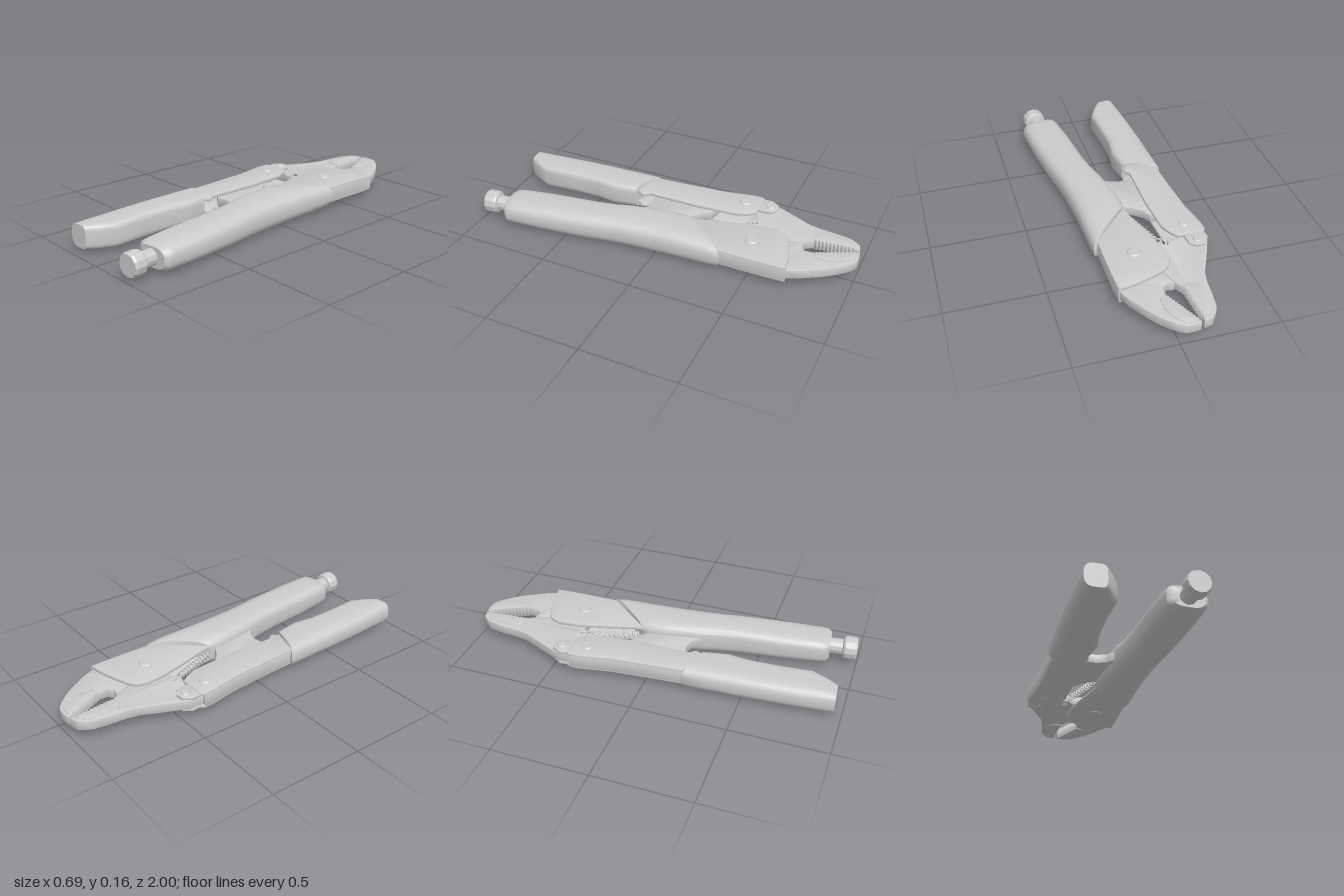
import * as THREE from 'three';
import { toCreasedNormals } from 'three/addons/utils/BufferGeometryUtils.js';

const MID = 0.082; // height of the tool's centre plane

export function createModel() {
  const tool = new THREE.Group();
  tool.name = 'lockingPliers';
  const steel = new THREE.MeshStandardMaterial({ color: 0xcccccc });

  function add(name, geometry, crease = 0.6) {
    const mesh = new THREE.Mesh(toCreasedNormals(geometry, crease), steel);
    mesh.name = name;
    mesh.position.y = MID;
    tool.add(mesh);
    return mesh;
  }

  // Flat part from an (x, z) outline, spanning heights y0 to y1
  function plate(name, points, y0, y1, bevel = 0.005, hole) {
    const shape = new THREE.Shape(points.map(p => new THREE.Vector2(p[0], p[1])));
    if (hole) {
      const h = new THREE.Path();
      h.absarc(hole[0], hole[1], hole[2], 0, Math.PI * 2, true);
      shape.holes.push(h);
    }
    const geometry = new THREE.ExtrudeGeometry(shape, {
      depth: y1 - y0 - 2 * bevel, bevelEnabled: bevel > 0, bevelSize: bevel,
      bevelThickness: bevel, bevelOffset: -bevel, bevelSegments: 2, curveSegments: 16,
    });
    geometry.rotateX(Math.PI / 2).translate(0, y1 - bevel, 0);
    return add(name, geometry);
  }

  // Saw-tooth row from a to b
  function teeth(a, b, n, depth) {
    const points = [];
    const dx = b[0] - a[0], dz = b[1] - a[1], len = Math.hypot(dx, dz);
    for (let i = 0; i <= 2 * n; i++) {
      const t = i / (2 * n), d = i % 2 ? depth : 0;
      points.push([a[0] + dx * t - dz / len * d, a[1] + dz * t + dx / len * d]);
    }
    return points;
  }

  // Rounded sleeve; stations are [xLow, zLow, xHigh, zHigh, halfHeight]
  function sleeve(name, stations, nLow, nHigh) {
    const N = 40, pos = [], index = [];
    const power = (v, n) => Math.sign(v) * Math.abs(v) ** (2 / n);
    for (const [xl, zl, xr, zr, h] of stations) {
      for (let j = 0; j < N; j++) {
        const a = j / N * Math.PI * 2, c = Math.cos(a), n = c < 0 ? nLow : nHigh;
        const u = (power(c, n) + 1) / 2;
        pos.push(xl + (xr - xl) * u, power(Math.sin(a), n) * h, zl + (zr - zl) * u);
      }
    }
    const last = stations.length - 1;
    for (let i = 0; i < last; i++) {
      for (let j = 0; j < N; j++) {
        const k = (j + 1) % N, a = i * N + j, b = i * N + k;
        index.push(a, b, b + N, a, b + N, a + N);
      }
    }
    for (const i of [0, last]) {
      const [xl, zl, xr, zr] = stations[i], centre = pos.length / 3;
      pos.push((xl + xr) / 2, 0, (zl + zr) / 2);
      for (let j = 0; j < N; j++) {
        const a = i * N + j, b = i * N + (j + 1) % N;
        index.push(centre, ...(i ? [a, b] : [b, a]));
      }
    }
    const geometry = new THREE.BufferGeometry();
    geometry.setAttribute('position', new THREE.Float32BufferAttribute(pos, 3));
    geometry.setIndex(index);
    add(name, geometry, 0.75);
  }

  function rivet(name, x, z, r, h) {
    const profile = [[0, -h], [r * 0.8, -h], [r, -h + 0.006], [r, h - 0.006], [r * 0.8, h], [0, h]];
    const geometry = new THREE.LatheGeometry(profile.map(p => new THREE.Vector2(...p)), 24);
    add(name, geometry.translate(x, 0, z));
  }

  // Jaws, with teeth facing each other across the mouth
  const fixedTeeth = teeth([-0.095, -0.965], [-0.005, -0.78], 11, -0.008);
  const movingTeeth = teeth([-0.1, -0.75], [-0.117, -0.96], 11, -0.008);
  plate('fixedJaw', [
    [-0.1, -0.995], ...fixedTeeth, [-0.005, -0.735], [-0.035, -0.71], [-0.07, -0.715],
    [-0.05, -0.65], [0, -0.6], [0.19, -0.6], [0.2, -0.69], [0.166, -0.766], [0.11, -0.86],
    [0.07, -0.915], [0.03, -0.957], [0, -0.985], [-0.03, -0.999], [-0.07, -1],
  ], -0.024, 0.024, 0.002);
  plate('movingJaw', [
    [-0.115, -0.992], [-0.16, -0.98], [-0.185, -0.95], [-0.2, -0.92], [-0.212, -0.84],
    [-0.22, -0.75], [-0.235, -0.685], [-0.27, -0.61], [-0.31, -0.52], [-0.335, -0.46],
    [-0.335, -0.38], [-0.2, -0.4], [-0.155, -0.388], [-0.115, -0.385], [-0.085, -0.42],
    [0.04, -0.42], [0.09, -0.48], [0, -0.59], [-0.055, -0.65], [-0.075, -0.715],
    ...movingTeeth,
  ], -0.024, 0.024, 0.002, [-0.128, -0.422, 0.02]);

  // Raised gripping pads along the teeth
  plate('fixedJawPad', [
    ...fixedTeeth, [0.03, -0.8], [0.035, -0.86], [0.01, -0.93], [-0.03, -0.985], [-0.085, -0.985],
  ], -0.029, 0.029, 0.002);
  plate('movingJawPad', [
    ...movingTeeth, [-0.15, -0.96], [-0.178, -0.93], [-0.187, -0.78], [-0.17, -0.755], [-0.13, -0.742],
  ], -0.029, 0.029, 0.002);

  // Folded body and left handle: two side plates and an outer web each
  const body = [
    [0.2, -0.705], [0.11, -0.69], [0.03, -0.665], [-0.05, -0.635], [-0.08, -0.61], [-0.098, -0.56],
    [-0.088, -0.45], [-0.05, -0.3], [-0.008, -0.155], [0.0, -0.1], [0.05, 0], [0.2, 0],
    [0.205, -0.34], [0.205, -0.6],
  ];
  const handle = [
    [-0.335, -0.41], [-0.347, -0.39], [-0.345, -0.34], [-0.315, -0.18], [-0.297, 0.03],
    [-0.28, 0.3], [-0.12, 0.3], [-0.12, 0.25], [-0.103, 0.235], [-0.103, 0.21], [-0.125, 0.19],
    [-0.125, -0.1], [-0.14, -0.31], [-0.165, -0.37], [-0.195, -0.41],
  ];
  for (const side of [-1, 1]) {
    const low = side > 0 ? 0.024 : -0.046, end = side > 0 ? 'Top' : 'Bottom';
    plate('body' + end, body, low, low + 0.022, 0.009);
    plate('handle' + end, handle, low, low + 0.022, 0.009);
    // Lug joining the handle to the moving jaw
    plate('jawLug' + end, [
      [-0.335, -0.4], [-0.34, -0.45], [-0.31, -0.497], [-0.265, -0.5], [-0.232, -0.475], [-0.225, -0.4],
    ], low - (side > 0 ? 0 : -0.006), low + (side > 0 ? 0.016 : 0.022), 0.004);
  }
  plate('bodyWeb', [
    [0.2, -0.705], [0.16, -0.695], [0.17, -0.55], [0.17, 0], [0.2, 0], [0.205, -0.34], [0.205, -0.6],
  ], -0.04, 0.04, 0.003);
  plate('handleWeb', [
    [-0.347, -0.39], [-0.345, -0.34], [-0.315, -0.18], [-0.297, 0.03], [-0.28, 0.3],
    [-0.255, 0.3], [-0.27, 0.03], [-0.288, -0.18], [-0.318, -0.34], [-0.32, -0.39],
  ], -0.038, 0.038, 0.004);

  // Toggle link between the handles
  plate('toggleLink', [
    [-0.2, -0.2], [-0.125, -0.185], [-0.1, -0.145], [-0.06, -0.11], [0.005, -0.075],
    [0.06, 0], [0.06, 0.21], [0.035, 0.2], [0, 0.165], [-0.05, 0.15], [-0.12, 0.16], [-0.2, 0.1],
  ], -0.024, 0.024, 0.003);

  rivet('mainPivot', 0.055, -0.475, 0.035, 0.053);
  rivet('jawRivet', -0.283, -0.458, 0.025, 0.047);
  rivet('handleRivet', -0.257, -0.325, 0.029, 0.052);

  // Return spring: hook through the jaw hole, then a coil
  const coil = [];
  for (let i = 0; i <= 120; i++) {
    const t = i / 120, a = t * Math.PI * 20;
    coil.push(new THREE.Vector3(-0.09 + 0.09 * t + Math.cos(a) * 0.015, Math.sin(a) * 0.015, -0.36 + 0.24 * t));
  }
  add('spring', new THREE.TubeGeometry(new THREE.CatmullRomCurve3(coil), 240, 0.005, 6), 1);
  const hook = [[-0.128, -0.02, -0.422], [-0.128, 0.025, -0.415], [-0.11, 0.025, -0.39], [-0.08, 0, -0.36]];
  add('springHook', new THREE.TubeGeometry(
    new THREE.CatmullRomCurve3(hook.map(p => new THREE.Vector3(...p))), 16, 0.006, 8), 1);

  // Cushioned grips
  sleeve('rightGrip', [
    [0.0, -0.115, 0.215, -0.365, 0.058], [-0.006, -0.11, 0.226, -0.365, 0.07],
    [-0.01, -0.065, 0.23, -0.31, 0.079], [0.0, 0.02, 0.235, -0.1, 0.082],
    [0.015, 0.1, 0.243, 0.05, 0.082], [0.035, 0.2, 0.255, 0.18, 0.081],
    [0.058, 0.28, 0.268, 0.27, 0.079], [0.08, 0.4, 0.292, 0.4, 0.077],
    [0.105, 0.64, 0.325, 0.64, 0.072], [0.13, 0.8, 0.338, 0.79, 0.068],
    [0.14, 0.845, 0.342, 0.822, 0.064], [0.165, 0.862, 0.325, 0.845, 0.053],
  ], 3.5, 2.7);
  sleeve('leftGrip', [
    [-0.303, 0.2, -0.112, 0.262, 0.056], [-0.307, 0.205, -0.105, 0.264, 0.064],
    [-0.302, 0.32, -0.095, 0.32, 0.067], [-0.298, 0.4, -0.083, 0.39, 0.068],
    [-0.294, 0.5, -0.097, 0.5, 0.068], [-0.285, 0.66, -0.092, 0.66, 0.067],
    [-0.275, 0.8, -0.077, 0.825, 0.066], [-0.264, 0.9, -0.113, 0.9, 0.064],
    [-0.256, 0.965, -0.147, 0.957, 0.06],
  ], 2.8, 5);

  // Adjusting screw and knob at the end of the right grip
  const knob = [[0, -0.16], [0.042, -0.16], [0.042, -0.075], [0.056, -0.07], [0.062, -0.06],
    [0.062, -0.012], [0.056, 0], [0, 0]];
  const screw = new THREE.LatheGeometry(knob.map(p => new THREE.Vector2(...p)), 12);
  screw.rotateX(Math.PI / 2).rotateY(0.1).translate(0.253, 0, 0.993);
  add('adjustingKnob', screw, 0.3);

  return tool;
}
